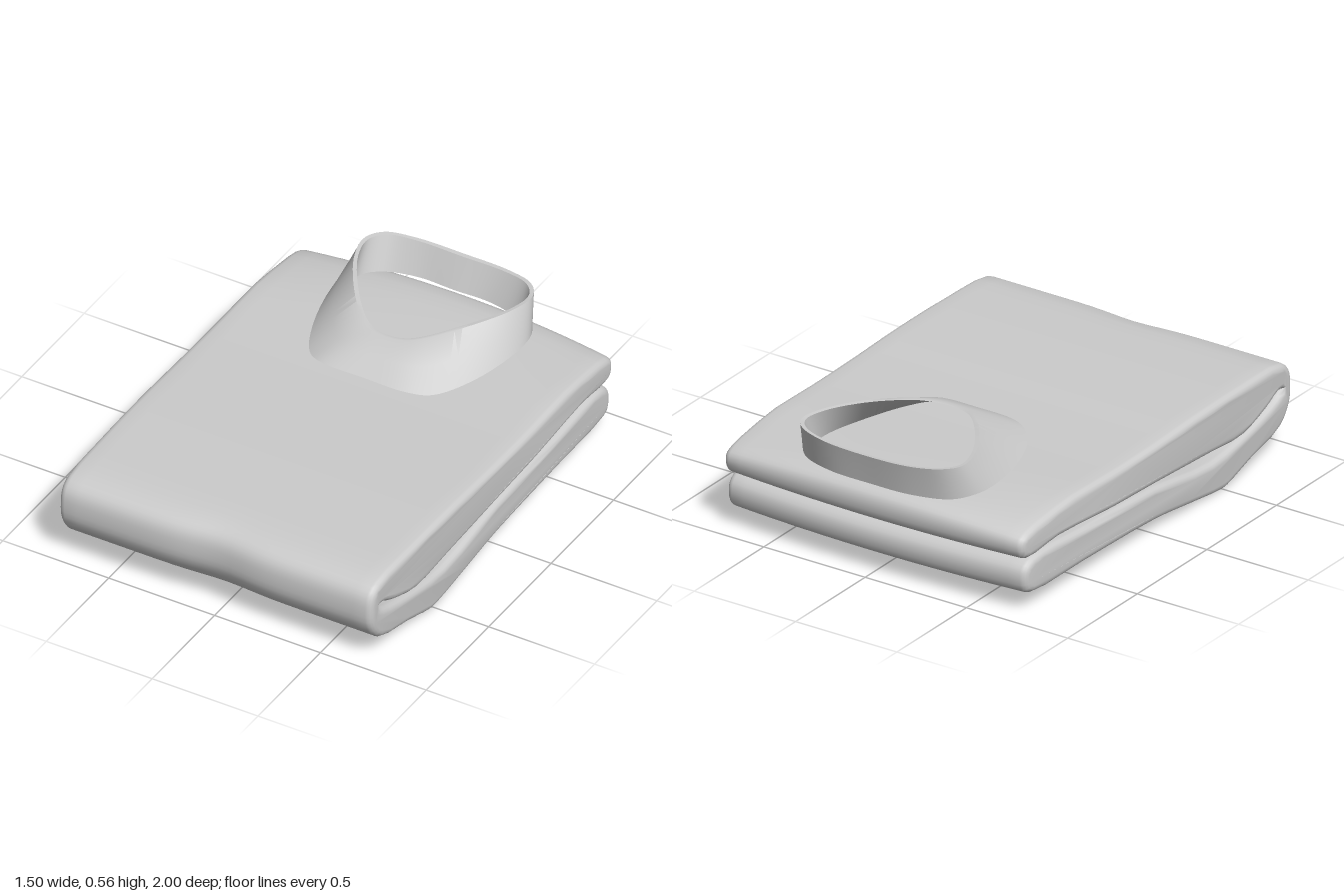
import * as THREE from 'three';
import { toCreasedNormals } from 'three/addons/utils/BufferGeometryUtils.js';

const material = new THREE.MeshStandardMaterial({ color: 0xcccccc });

// Folded cloth: a hairpin side profile (z, y), swept across x with rounded sides
const foldProfile = [
  [-0.975, 0.36], [-0.93, 0.395], [-0.7, 0.41], [-0.3, 0.402], [0, 0.405], [0.3, 0.415], [0.65, 0.415],
  [0.93, 0.4], [0.985, 0.36], [1, 0.29], [0.99, 0.21], [0.92, 0.12], [0.7, 0.06], [0.53, 0.01], [0.48, 0.007],
  [0.25, 0.035], [0, 0.065], [-0.5, 0.08], [-0.9, 0.085], [-0.945, 0.11], [-0.955, 0.19], [-0.92, 0.23],
  [-0.82, 0.248], [-0.5, 0.233], [0, 0.215], [0.42, 0.16], [0.7, 0.2], [0.89, 0.255],
  [0.93, 0.283], [0.9, 0.283], [0.82, 0.245], [0.64, 0.192], [0.4, 0.205], [0, 0.228], [-0.3, 0.24], [-0.7, 0.265],
  [-0.93, 0.25], [-0.97, 0.275],
];

function createBody() {
  const curve = new THREE.CatmullRomCurve3(
    foldProfile.map(([z, y]) => new THREE.Vector3(-z, y, 0)), true, 'centripetal');
  const outline = curve.getPoints(foldProfile.length * 3).slice(0, -1);
  const bevel = 0.03;
  const depth = 1.43;
  const geometry = new THREE.ExtrudeGeometry(
    new THREE.Shape(outline.map((p) => new THREE.Vector2(p.x, p.y))),
    { depth, steps: 24, bevelEnabled: true, bevelThickness: bevel, bevelSize: bevel, bevelOffset: -bevel, bevelSegments: 4 });
  geometry.translate(0, 0, -depth / 2);
  geometry.rotateY(Math.PI / 2);

  // Shoulders slope forward, the front fold dips at the middle, the sides swell a little
  const pos = geometry.attributes.position;
  for (let i = 0; i < pos.count; i++) {
    const x = pos.getX(i), y = pos.getY(i), z = pos.getZ(i);
    const back = THREE.MathUtils.smoothstep(-z, 0.5, 0.95);
    const front = THREE.MathUtils.smoothstep(z, 0.8, 1);
    const side = (x / 0.745) ** 2;
    pos.setXYZ(i,
      x * (0.992 + 0.015 * (1 - z * z)),
      y - 0.03 * back * side * THREE.MathUtils.smoothstep(y, 0.27, 0.4),
      z + 0.035 * back * side - 0.022 * front * Math.exp(-((x / 0.16) ** 2)));
  }
  const mesh = new THREE.Mesh(toCreasedNormals(geometry, 0.8), material);
  mesh.name = 'foldedBody';
  return mesh;
}

// Collar edges from the back centre, round the +x side, to the front centre
const lowerEdge = [
  [0, 0.42, -0.97], [0.2, 0.42, -0.962], [0.36, 0.42, -0.905], [0.425, 0.428, -0.82], [0.437, 0.428, -0.7],
  [0.385, 0.422, -0.45], [0.29, 0.428, -0.255], [0.2, 0.445, -0.197], [0, 0.45, -0.188],
];
const upperEdge = [
  [0, 0.557, -1], [0.22, 0.562, -0.99], [0.345, 0.57, -0.95], [0.395, 0.57, -0.88], [0.375, 0.57, -0.76],
  [0.275, 0.565, -0.58], [0.15, 0.55, -0.43], [0.08, 0.542, -0.385], [0, 0.54, -0.37],
];

function mirroredLoop(half, count) {
  const points = half.map((p) => new THREE.Vector3(...p));
  const mirrored = points.slice(1, -1).reverse().map((p) => new THREE.Vector3(-p.x, p.y, p.z));
  return new THREE.CatmullRomCurve3([...points, ...mirrored], true, 'centripetal').getPoints(count).slice(0, -1);
}

// Shift a loop towards the middle of the neck opening
function inset(loop, distance, lift) {
  return loop.map((p) => {
    const d = new THREE.Vector3(-p.x, 0, -0.7 - p.z).setLength(distance);
    return p.clone().add(d).setY(p.y + lift);
  });
}

function createCollar() {
  const count = 96;
  const lower = mirroredLoop(lowerEdge, count);
  const upper = mirroredLoop(upperEdge, count);
  const middle = lower.map((p, i) => p.clone().lerp(upper[i], 0.5).setY((p.y + upper[i].y) / 2 + 0.005));
  const rings = [lower, middle, upper, inset(upper, 0.018, -0.002), inset(lower, 0.05, 0.003)];
  const vertices = rings.flat().flatMap((p) => [p.x, p.y, p.z]);
  const index = [];
  for (let r = 0; r < rings.length; r++) {
    for (let i = 0; i < count; i++) {
      const j = (i + 1) % count;
      const s = ((r + 1) % rings.length) * count;
      const a = r * count + i, b = r * count + j, c = s + j, d = s + i;
      index.push(a, d, b, b, d, c);
    }
  }
  const geometry = new THREE.BufferGeometry();
  geometry.setAttribute('position', new THREE.Float32BufferAttribute(vertices, 3));
  geometry.setIndex(index);
  // The loop runs from the back to +x, so turn the faces outwards if needed
  const a = lower[0], normal = new THREE.Vector3()
    .crossVectors(middle[0].clone().sub(a), lower[1].clone().sub(a));
  if (normal.z > 0) geometry.setIndex(index.slice().reverse());
  const mesh = new THREE.Mesh(toCreasedNormals(geometry.toNonIndexed(), 0.7), material);
  mesh.name = 'collar';
  return mesh;
}

export function createModel() {
  const group = new THREE.Group();
  group.name = 'foldedShirt';
  group.add(createBody(), createCollar());
  return group;
}
